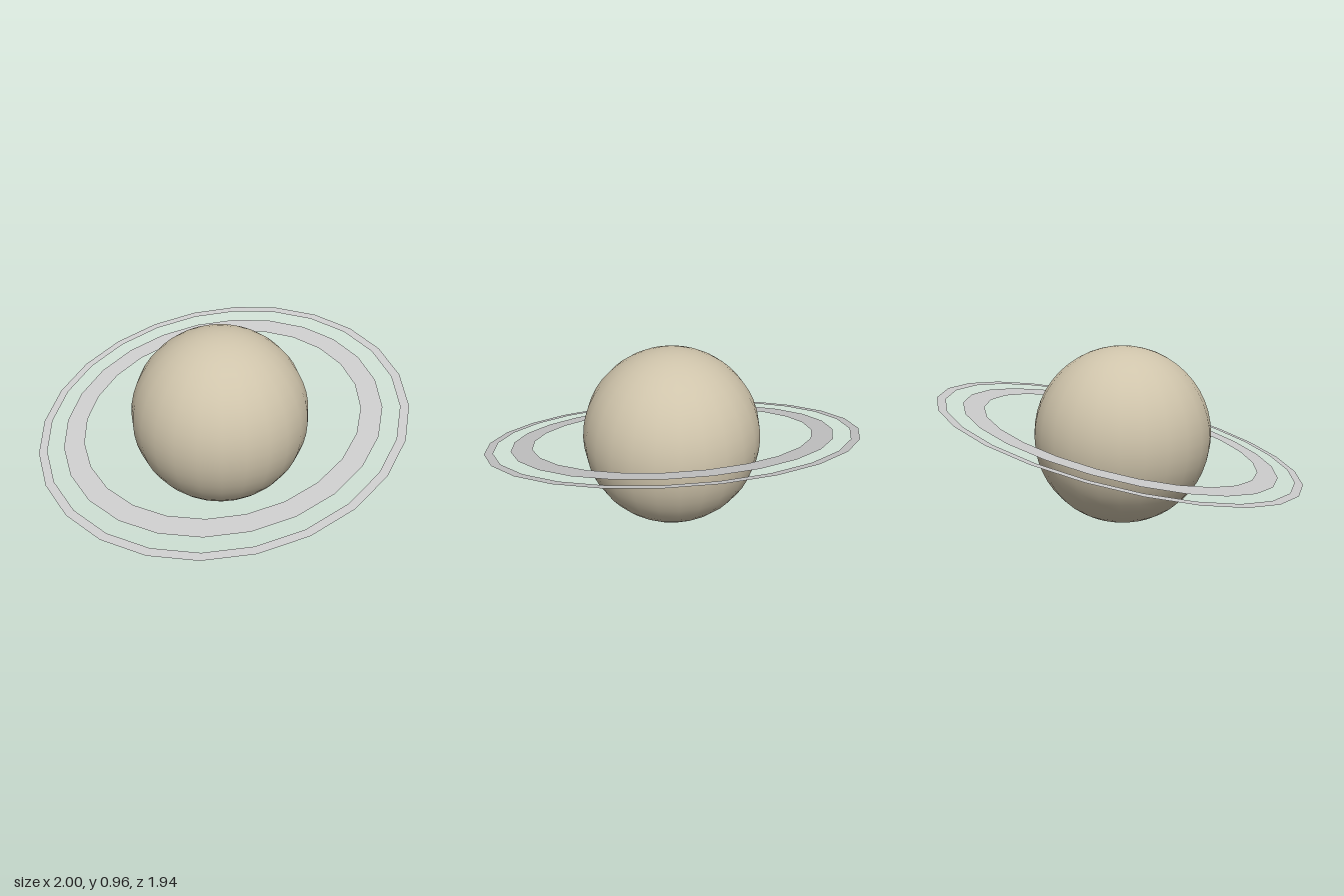
import * as THREE from 'three';

export function createModel() {
  const group = new THREE.Group();
  const sand = new THREE.MeshStandardMaterial({ color: 0xcfc4ab });
  sand.name = 'sand';
  const ringGrey = new THREE.MeshStandardMaterial({ color: 0xcccccc, side: THREE.DoubleSide });
  ringGrey.name = 'ringGrey';

  // Smooth planet body
  const planet = new THREE.Mesh(new THREE.SphereGeometry(0.478, 24, 24), sand);
  planet.name = 'planet';
  planet.position.y = 0.478;
  planet.rotation.set(0, Math.PI / 24, 0);
  group.add(planet);

  // Two flat rings sharing one tilted plane, lower at the front
  const rings = new THREE.Group();
  rings.name = 'rings';
  rings.position.set(0, 0.47, -0.004);
  rings.rotation.x = 0.238;
  const addRing = (name, inner, outer) => {
    const ring = new THREE.Mesh(new THREE.RingGeometry(inner, outer, 24), ringGrey);
    ring.name = name;
    ring.rotation.x = -Math.PI / 2;
    rings.add(ring);
  };
  addRing('innerRing', 0.75, 0.863);
  addRing('outerRing', 0.954, 1);
  group.add(rings);

  return group;
}
